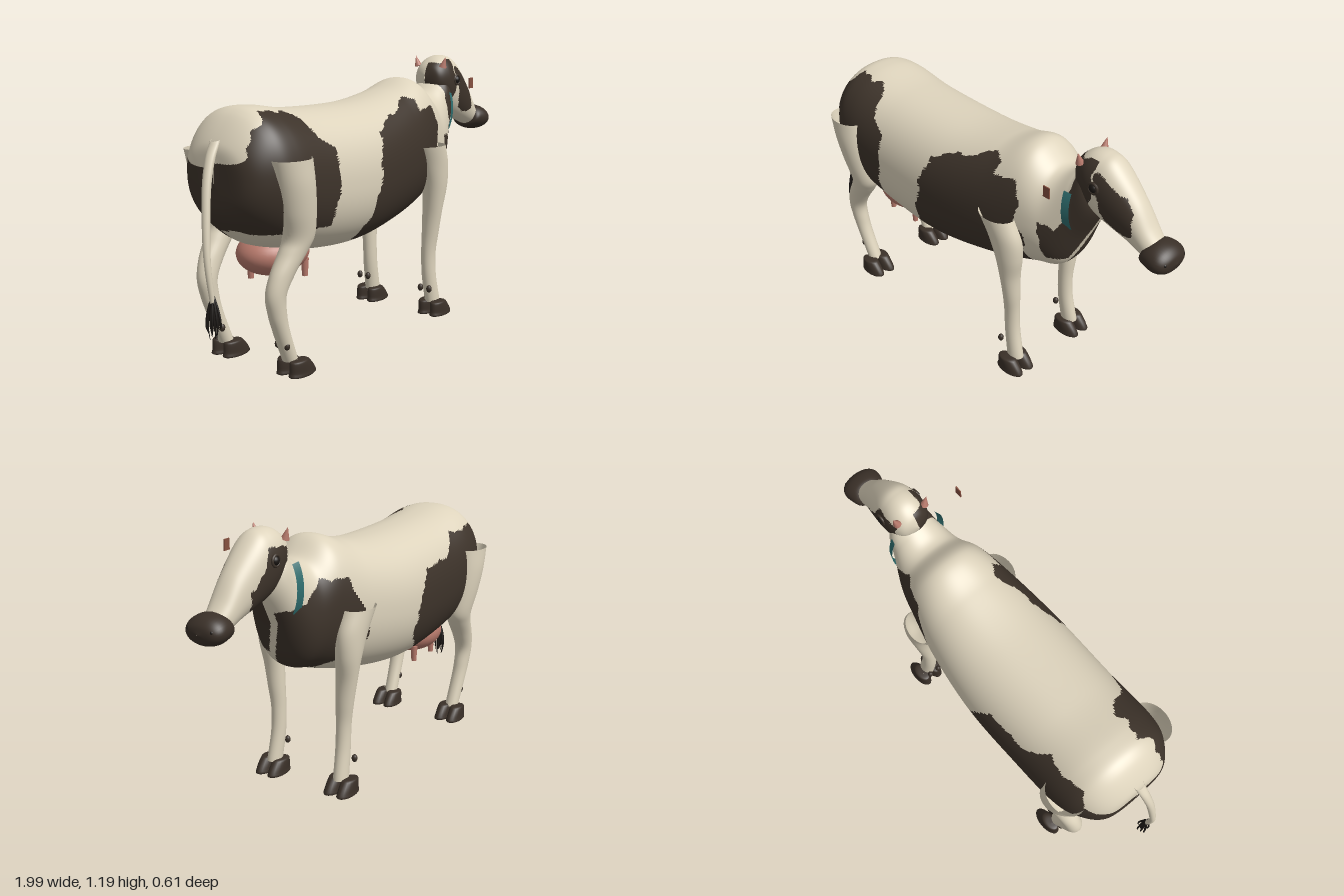
import * as THREE from 'three';

const mat = (name, color, side = THREE.FrontSide) => {
  const m = new THREE.MeshStandardMaterial({ color, side });
  m.name = name;
  return m;
};

// Catmull-Rom loft. Each row is [ax, ay, bx, by, halfWidth, centreZ]: an ellipse
// spanning points a and b, with its other axis along z.
function loft(rows, n, m, isDark = () => false, power = 2) {
  const curve = (f) => new THREE.CatmullRomCurve3(rows.map(f), false, 'catmullrom', 0.5);
  const A = curve((r) => new THREE.Vector3(r[0], r[1], r[4]));
  const B = curve((r) => new THREE.Vector3(r[2], r[3], r[5] || 0));
  const round = (v) => Math.sign(v) * Math.pow(Math.abs(v), 2 / power);
  const pos = [], light = [], dark = [];
  for (let i = 0; i <= n; i++) {
    const a = A.getPoint(i / n), b = B.getPoint(i / n);
    for (let j = 0; j < m; j++) {
      const t = (j / m) * Math.PI * 2, c = round(Math.cos(t)), s = round(Math.sin(t));
      pos.push((a.x + b.x) / 2 + ((a.x - b.x) / 2) * c,
        (a.y + b.y) / 2 + ((a.y - b.y) / 2) * c, b.z + a.z * s);
    }
  }
  const tri = (...t) => {
    const mid = [0, 1, 2].map((k) => t.reduce((sum, v) => sum + pos[v * 3 + k], 0) / 3);
    (isDark(...mid) ? dark : light).push(...t);
  };
  for (let i = 0; i < n; i++) {
    for (let j = 0; j < m; j++) {
      const k = (j + 1) % m, p = i * m + j, q = i * m + k;
      tri(p, q, p + m);
      tri(q, q + m, p + m);
    }
  }
  const g = new THREE.BufferGeometry();
  g.setAttribute('position', new THREE.Float32BufferAttribute(pos, 3));
  g.setIndex(light.concat(dark));
  g.addGroup(0, light.length, 0);
  g.addGroup(light.length, dark.length, 1);
  g.computeVertexNormals();
  return g;
}

function inside(pts, x, y) {
  let hit = false;
  for (let i = 0, j = pts.length - 1; i < pts.length; j = i++) {
    const [xi, yi] = pts[i], [xj, yj] = pts[j];
    if (yi > y !== yj > y && x < ((xj - xi) * (y - yi)) / (yj - yi) + xi) hit = !hit;
  }
  return hit;
}

// Patches are side-on outlines for the two flanks, with slightly ragged edges.
// seam(x, y) gives the [minus, plus] limits in z between which the hide stays light.
const spotted = (plus, minus, seam = () => [0, 0]) => (x, y, z) => {
  const u = x + 0.006 * Math.sin(y * 41) + 0.003 * Math.sin(y * 97);
  const v = y + 0.006 * Math.sin(x * 37) + 0.003 * Math.sin(x * 103);
  const [lo, hi] = seam(x, y);
  return (z > hi && plus.some((p) => inside(p, u, v))) || (z < lo && minus.some((p) => inside(p, u, v)));
};

// A slanting light stripe down the chest; under the belly the +z patch crosses the middle
function bodySeam(x, y) {
  if (x < 0.4) return y < 0.58 ? [-0.06, -0.04 + Math.max(0, 0.08 - x) * 0.6] : [0, 0];
  const line = Math.max(-0.04, 0.057 - (y - 0.55) * 0.4);
  return [line, line + 0.035];
}

export function createModel() {
  const cow = new THREE.Group();
  cow.name = 'cow';
  const cream = mat('cream hide', 0xddd3bc, THREE.DoubleSide);
  const brown = mat('dark patch', 0x3d332a);
  const hoofMat = mat('hoof', 0x3a3028);
  const pink = mat('pink skin', 0xb87a6c);
  const teal = mat('collar teal', 0x2f6f70, THREE.DoubleSide);
  const black = mat('tuft black', 0x1a1613);
  const tagMat = mat('tag brown', 0x85503f);
  const add = (name, geo, material) => {
    const mesh = new THREE.Mesh(geo, material);
    mesh.name = name;
    cow.add(mesh);
    return mesh;
  };

  // Body and neck
  const flankPlus = [
    [[-0.92, 0.8], [-0.87, 0.88], [-0.81, 0.99], [-0.74, 1.046], [-0.61, 1.046], [-0.55, 0.99], [-0.53, 0.94],
      [-0.46, 0.9], [-0.45, 0.78], [-0.48, 0.58], [-0.6, 0.54], [-0.74, 0.56], [-0.83, 0.6], [-0.92, 0.7]],
    [[-0.17, 0.83], [-0.14, 0.92], [-0.02, 0.965], [0.06, 0.99], [0.14, 1.03], [0.2, 1.03], [0.21, 0.98],
      [0.32, 0.98], [0.34, 0.91], [0.33, 0.81], [0.37, 0.75], [0.36, 0.59], [0.36, 0.4], [-0.2, 0.38],
      [-0.24, 0.46], [-0.25, 0.51], [-0.2, 0.65]],
    [[0.44, 0.79], [0.43, 0.84], [0.5, 0.82], [0.53, 0.88], [0.53, 1.15], [0.7, 1.15], [0.68, 0.85],
      [0.6, 0.7], [0.53, 0.645], [0.47, 0.65], [0.44, 0.7]],
  ];
  const flankMinus = [
    [[-0.13, 0.62], [-0.16, 0.72], [-0.2, 0.8], [-0.26, 0.875], [-0.45, 0.88], [-0.55, 0.97], [-0.75, 0.98],
      [-0.8, 0.9], [-0.9, 0.82], [-0.9, 0.62], [-0.78, 0.5], [-0.65, 0.45], [-0.3, 0.46], [-0.2, 0.52]],
    [[0.18, 0.7], [0.25, 0.85], [0.3, 0.94], [0.42, 0.96], [0.5, 0.88], [0.58, 0.86], [0.64, 0.8],
      [0.6, 0.62], [0.46, 0.54], [0.25, 0.6]],
  ];
  const hide = [cream, brown];
  add('body', loft([
    [-0.885, 0.86, -0.885, 0.78, 0.002], [-0.872, 0.94, -0.87, 0.66, 0.15], [-0.79, 1.045, -0.78, 0.56, 0.232],
    [-0.69, 1.065, -0.65, 0.49, 0.265], [-0.47, 1.035, -0.4, 0.44, 0.27], [-0.1, 1.028, -0.15, 0.43, 0.27],
    [0.14, 1.06, 0.15, 0.48, 0.24], [0.3, 1.105, 0.38, 0.55, 0.195], [0.42, 1.03, 0.49, 0.6, 0.16],
    [0.51, 1.06, 0.57, 0.78, 0.12], [0.56, 1.1, 0.63, 0.91, 0.095], [0.6, 1.1, 0.64, 1.0, 0.05],
  ], 198, 184, spotted(flankPlus, flankMinus, bodySeam), 2.25), hide);

  // Head and muzzle
  const cheek = [[0.64, 1.13], [0.69, 1.13], [0.78, 1.06], [0.82, 0.99], [0.83, 0.92], [0.78, 0.9], [0.7, 0.94], [0.66, 1.03]];
  const jaw = [[0.48, 1.16], [0.63, 1.17], [0.64, 1.06], [0.62, 0.98], [0.63, 0.88], [0.48, 0.88]];
  const farCheek = [[0.56, 1.12], [0.68, 1.12], [0.7, 1.04], [0.78, 0.97], [0.76, 0.9], [0.6, 0.88], [0.56, 0.95]];
  add('head', loft([
    [0.505, 1.1, 0.505, 1.08, 0.002], [0.53, 1.15, 0.53, 1.02, 0.065], [0.58, 1.185, 0.59, 0.95, 0.092],
    [0.64, 1.19, 0.64, 0.91, 0.095], [0.7, 1.165, 0.71, 0.885, 0.088], [0.81, 1.055, 0.79, 0.86, 0.07],
    [0.88, 0.958, 0.86, 0.835, 0.06], [0.92, 0.91, 0.89, 0.83, 0.05],
  ], 96, 80, spotted([cheek, jaw], [farCheek]), 2.15), hide);
  add('muzzle', loft([
    [0.865, 0.88, 0.862, 0.86, 0.001], [0.882, 0.91, 0.858, 0.825, 0.066], [0.915, 0.926, 0.9, 0.806, 0.085],
    [0.96, 0.918, 0.95, 0.804, 0.088], [0.99, 0.893, 0.985, 0.82, 0.062], [1.0, 0.86, 1.0, 0.858, 0.001],
  ], 30, 40), hoofMat);

  for (const s of [1, -1]) {
    // Ears, eyes and nostrils
    const ear = add('ear', new THREE.ConeGeometry(0.018, 0.052, 12), pink);
    ear.position.set(0.555, 1.164, s * 0.078);
    ear.rotation.x = s * 0.3;
    add('eye', new THREE.SphereGeometry(0.021, 20, 14), black).position.set(0.645, 1.075, s * 0.086);
    const lid = add('eyelid', new THREE.TorusGeometry(0.022, 0.006, 8, 20), brown);
    lid.position.set(0.645, 1.075, s * 0.094);
    add('nostril', new THREE.SphereGeometry(0.009, 12, 8), black).position.set(0.981, 0.872, s * 0.055);

    // Side band of the collar, flaring slightly to the rear
    const [start, sweep] = s > 0 ? [-0.62, 1.05] : [Math.PI - 0.6, 1.22];
    const collar = add('collar', new THREE.CylinderGeometry(1, 0.93, 0.032, 24, 1, true, start, sweep), teal);
    collar.rotation.z = Math.PI / 2;
    collar.scale.set(0.19, 1, 0.139);
    collar.position.set(0.545, 0.945, 0);

    // Legs, with open tops set against the flanks
    add('frontLeg', loft([
      [0.335, 0.815, 0.155, 0.815, 0.065, s * 0.21], [0.37, 0.72, 0.205, 0.72, 0.06, s * 0.205],
      [0.37, 0.62, 0.245, 0.62, 0.055, s * 0.2], [0.35, 0.51, 0.265, 0.51, 0.048, s * 0.19],
      [0.345, 0.4, 0.27, 0.4, 0.04, s * 0.18], [0.34, 0.3, 0.27, 0.3, 0.033, s * 0.173],
      [0.347, 0.19, 0.275, 0.19, 0.032, s * 0.173], [0.375, 0.06, 0.295, 0.06, 0.032, s * 0.178],
    ], 42, 32), cream);
    add('hindLeg', loft([
      [-0.61, 0.88, -0.8, 0.88, 0.07, s * 0.235], [-0.595, 0.78, -0.775, 0.78, 0.075, s * 0.23],
      [-0.58, 0.67, -0.745, 0.67, 0.07, s * 0.222], [-0.575, 0.57, -0.715, 0.57, 0.06, s * 0.212],
      [-0.605, 0.51, -0.735, 0.51, 0.053, s * 0.205], [-0.665, 0.43, -0.78, 0.43, 0.045, s * 0.197],
      [-0.71, 0.35, -0.8, 0.35, 0.04, s * 0.19], [-0.705, 0.27, -0.785, 0.27, 0.036, s * 0.187],
      [-0.685, 0.19, -0.755, 0.19, 0.034, s * 0.184], [-0.635, 0.06, -0.7, 0.06, 0.032, s * 0.18],
    ], 54, 32), cream);

    // Cloven hooves and dewclaws
    for (const x of [0.28, -0.7]) {
      for (const d of [1, -1]) {
        const z = s * 0.185 + d * 0.033;
        add('hoof', loft([
          [x + 0.036, 0.07, x + 0.034, 0.07, 0.001, z], [x + 0.08, 0.069, x + 0.004, 0.066, 0.025, z],
          [x + 0.1, 0.055, x - 0.004, 0.055, 0.031, z], [x + 0.128, 0.02, x - 0.006, 0.02, 0.033, z],
          [x + 0.128, 0.001, x - 0.006, 0.001, 0.033, z], [x + 0.061, 0, x + 0.059, 0, 0.001, z],
        ], 20, 24), hoofMat);
        const claw = add('dewclaw', new THREE.SphereGeometry(0.013, 12, 8), hoofMat);
        claw.position.set(x - 0.012, 0.135, s * 0.18 + d * 0.024);
        claw.scale.y = 1.35;
      }
    }

    // Teats
    for (const x of [-0.62, -0.455]) {
      add('teat', new THREE.CylinderGeometry(0.017, 0.012, 0.075, 14), pink).position.set(x, 0.378, s * 0.075);
    }
  }

  // Udder
  const udder = add('udder', new THREE.SphereGeometry(1, 36, 24), pink);
  udder.scale.set(0.165, 0.095, 0.137);
  udder.position.set(-0.565, 0.457, 0);

  // Tail with a tuft of thin strands
  const tail = [[-0.865, 0.95, 0], [-0.908, 0.88, 0.01], [-0.945, 0.77, 0.025], [-0.972, 0.6, 0.045],
    [-0.98, 0.48, 0.058], [-0.968, 0.35, 0.064]];
  add('tail', loft(tail.map(([x, y, z], i) => {
    const r = 0.023 - i * 0.0026;
    return [x + r, y + r * 0.3, x - r, y - r * 0.3, r, z];
  }), 40, 16), cream);
  for (let i = 0; i < 14; i++) {
    const a = i * 2.4, r = 0.012 + 0.026 * (i / 14), c = Math.cos(a) * r, s = Math.sin(a) * r;
    const end = 0.2 + 0.05 * ((i * 5) % 7) / 7;
    add('tailStrand', loft([
      [0, 0.385, 0.3, 0.6], [0.7, 0.32, 1, 0.7], [0.95, 0.26, 1.1, 0.55], [0.75, end, 0.9, 0.12],
    ].map(([f, y, g, w]) => {
      const x = -0.965 + c * f * 0.75, h = 0.0065 * w;
      return [x + h, y, x - h, y, h, 0.064 + s * f * g];
    }), 10, 6), black);
  }

  // Loose tag beside the head
  add('tag', new THREE.BoxGeometry(0.032, 0.048, 0.005), tagMat).position.set(0.54, 1.075, 0.238);

  return cow;
}
